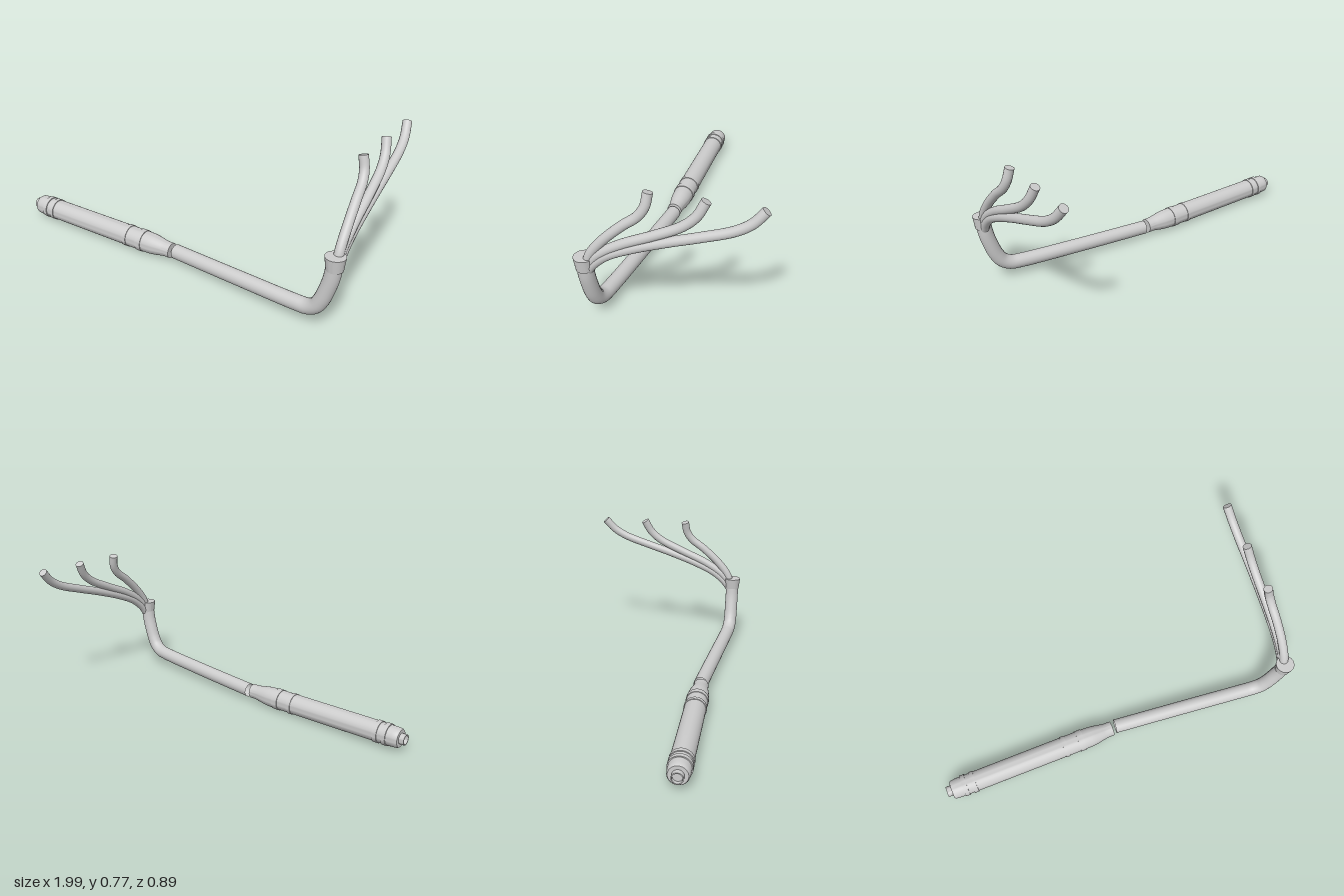
import * as THREE from 'three';
import { toCreasedNormals } from 'three/addons/utils/BufferGeometryUtils.js';

const V = (x, y, z) => new THREE.Vector3(x, y, z);

export function createModel() {
  const group = new THREE.Group();
  const metal = new THREE.MeshStandardMaterial({ color: 0xcccccc, side: THREE.DoubleSide });
  metal.name = 'light grey metal';

  const add = (name, geometry, parent = group) => {
    const mesh = new THREE.Mesh(geometry, metal);
    mesh.name = name;
    parent.add(mesh);
    return mesh;
  };

  // Turned part: profile of [radius, distance along axis]
  const turned = (name, profile, parent) => {
    const lathe = new THREE.LatheGeometry(profile.map(([r, t]) => new THREE.Vector2(r, t)), 40);
    return add(name, toCreasedNormals(lathe, 0.5), parent);
  };

  // Round tube through points, with a flat disc on its far end
  const pipe = (name, points, radius, capped) => {
    const curve = new THREE.CatmullRomCurve3(points, false, 'centripetal');
    add(name, new THREE.TubeGeometry(curve, 64, radius, 28));
    if (capped) {
      const cap = add(name + 'End', new THREE.CircleGeometry(radius, 28));
      cap.position.copy(curve.getPointAt(1));
      cap.quaternion.setFromUnitVectors(V(0, 0, 1), curve.getTangentAt(1));
    }
  };

  // Silencer, lying along a slightly slanted axis
  const silencer = new THREE.Group();
  silencer.name = 'silencer';
  const start = V(-1, 0.073, 0.356), end = V(-0.02, 0.064, 0.33);
  silencer.position.copy(start);
  silencer.quaternion.setFromUnitVectors(V(0, 1, 0), end.sub(start).normalize());
  group.add(silencer);

  turned('silencerBody', [
    [0, 0.02], [0.024, 0.02], [0.024, 0], [0.029, 0], [0.029, 0.028],
    [0.047, 0.028], [0.052, 0.036], [0.0545, 0.06], [0.056, 0.16], [0.057, 0.8],
    [0.056, 0.845], [0.053, 0.875], [0.044, 0.925], [0.041, 0.945], [0.041, 0.98], [0, 0.98],
  ], silencer);

  // Clamp bands around the silencer
  [[0.09, 0.115], [0.14, 0.165], [0.68, 0.705], [0.77, 0.805]].forEach(([a, b], i) =>
    turned('clampBand' + (i + 1), [[0.054, a], [0.06, a], [0.06, b], [0.054, b]], silencer));

  // Main pipe, bending up to the collector
  pipe('mainPipe', [
    V(0, 0.064, 0.325), V(0.4, 0.071, 0.356), V(0.76, 0.081, 0.386), V(0.82, 0.088, 0.392),
    V(0.865, 0.115, 0.398), V(0.893, 0.16, 0.4), V(0.918, 0.23, 0.4),
    V(0.934, 0.29, 0.4), V(0.942, 0.345, 0.4),
  ], 0.039, false);

  // Flared collector
  turned('collector', [[0, 0.335], [0.041, 0.335], [0.049, 0.402], [0, 0.402]])
    .position.set(0.944, 0, 0.4);

  // Header tubes fanning backwards, as [z, y] paths that lean inwards with height
  const headers = {
    frontHeader: [[0.385, 0.36], [0.367, 0.42], [0.305, 0.502], [0.207, 0.594],
      [0.135, 0.65], [0.102, 0.7], [0.09, 0.765]],
    middleHeader: [[0.385, 0.35], [0.345, 0.41], [0.295, 0.453], [0.207, 0.506],
      [0.063, 0.572], [-0.068, 0.638], [-0.13, 0.693], [-0.169, 0.764]],
    rearHeader: [[0.385, 0.33], [0.348, 0.378], [0.28, 0.434], [0.16, 0.492],
      [-0.008, 0.555], [-0.152, 0.603], [-0.296, 0.655], [-0.37, 0.7], [-0.426, 0.762]],
  };
  for (const [name, path] of Object.entries(headers)) {
    pipe(name, path.map(([z, y]) => V(0.947 - 0.36 * (y - 0.4) ** 2, y, z)), 0.0235, true);
  }

  return group;
}
